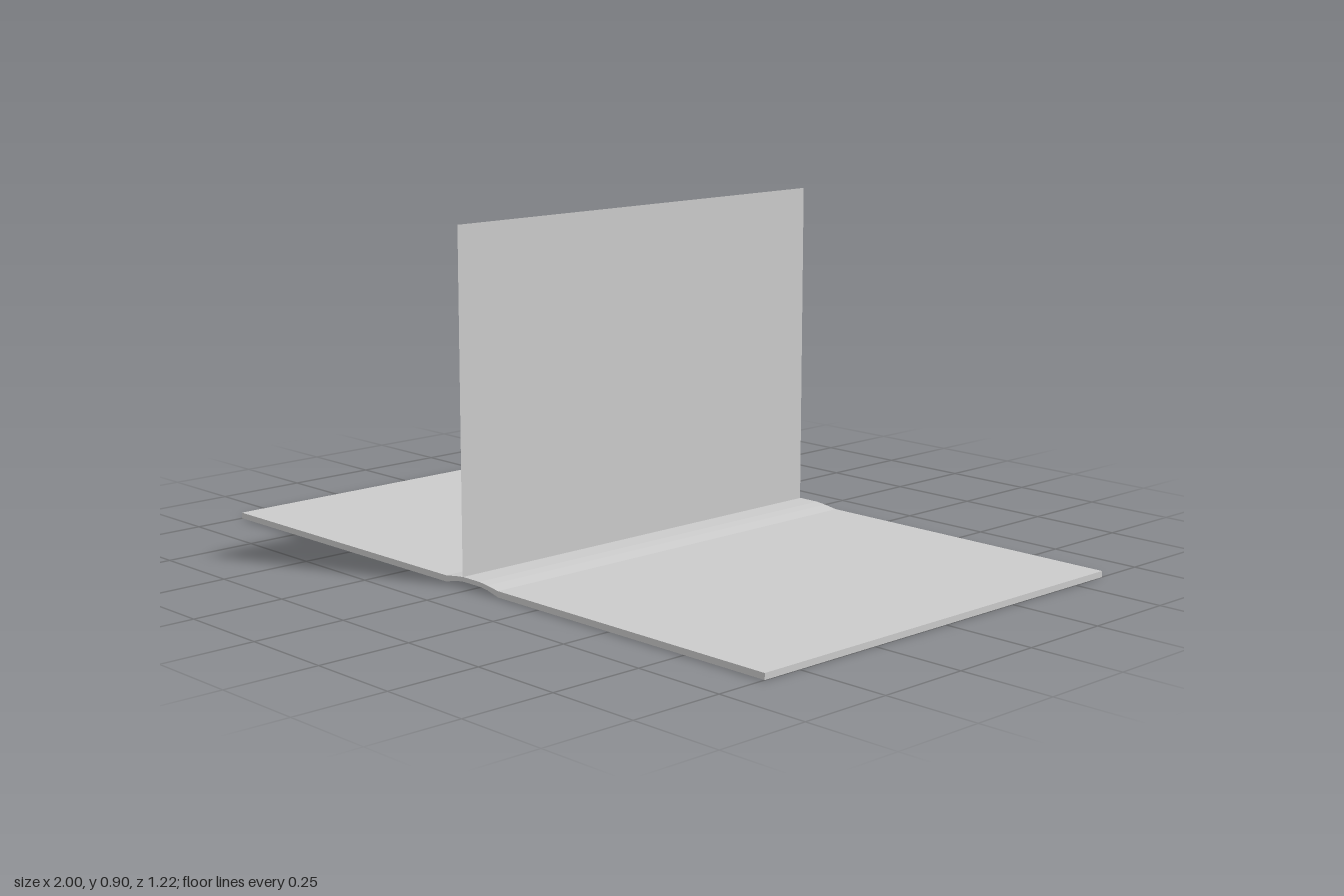
import * as THREE from 'three';

const DEPTH = 1.22;
const material = new THREE.MeshStandardMaterial({ color: 0xcccccc, flatShading: true, side: THREE.DoubleSide });

// Extrude an x-y outline along z, centred on z = 0
function slab(name, points) {
  const shape = new THREE.Shape(points.map(([x, y]) => new THREE.Vector2(x, y)));
  const geometry = new THREE.ExtrudeGeometry(shape, { depth: DEPTH, bevelEnabled: false });
  geometry.translate(0, 0, -DEPTH / 2);
  const mesh = new THREE.Mesh(geometry, material);
  mesh.name = name;
  return mesh;
}

export function createModel() {
  const model = new THREE.Group();
  model.name = 'openFolder';

  // One outline: two flat covers joined by a gently arched spine
  const bottom = [[-1, 0], [-0.1, 0], [-0.06, 0.01], [-0.03, 0.013], [0.03, 0.013], [0.06, 0.01], [0.1, 0], [1, 0]];
  const top = [[1, 0.016], [0.1, 0.016], [0.06, 0.022], [0.03, 0.025], [-0.03, 0.025], [-0.06, 0.022], [-0.1, 0.016], [-1, 0.016]];
  model.add(slab('coversAndSpine', [...bottom, ...top]));

  // Upright sheet standing on the spine
  const height = 0.885;
  const sheet = new THREE.Mesh(new THREE.PlaneGeometry(DEPTH, height), material);
  sheet.name = 'uprightPage';
  sheet.rotation.y = Math.PI / 2;
  sheet.position.set(-0.035, 0.9 - height / 2, 0);
  model.add(sheet);

  return model;
}
